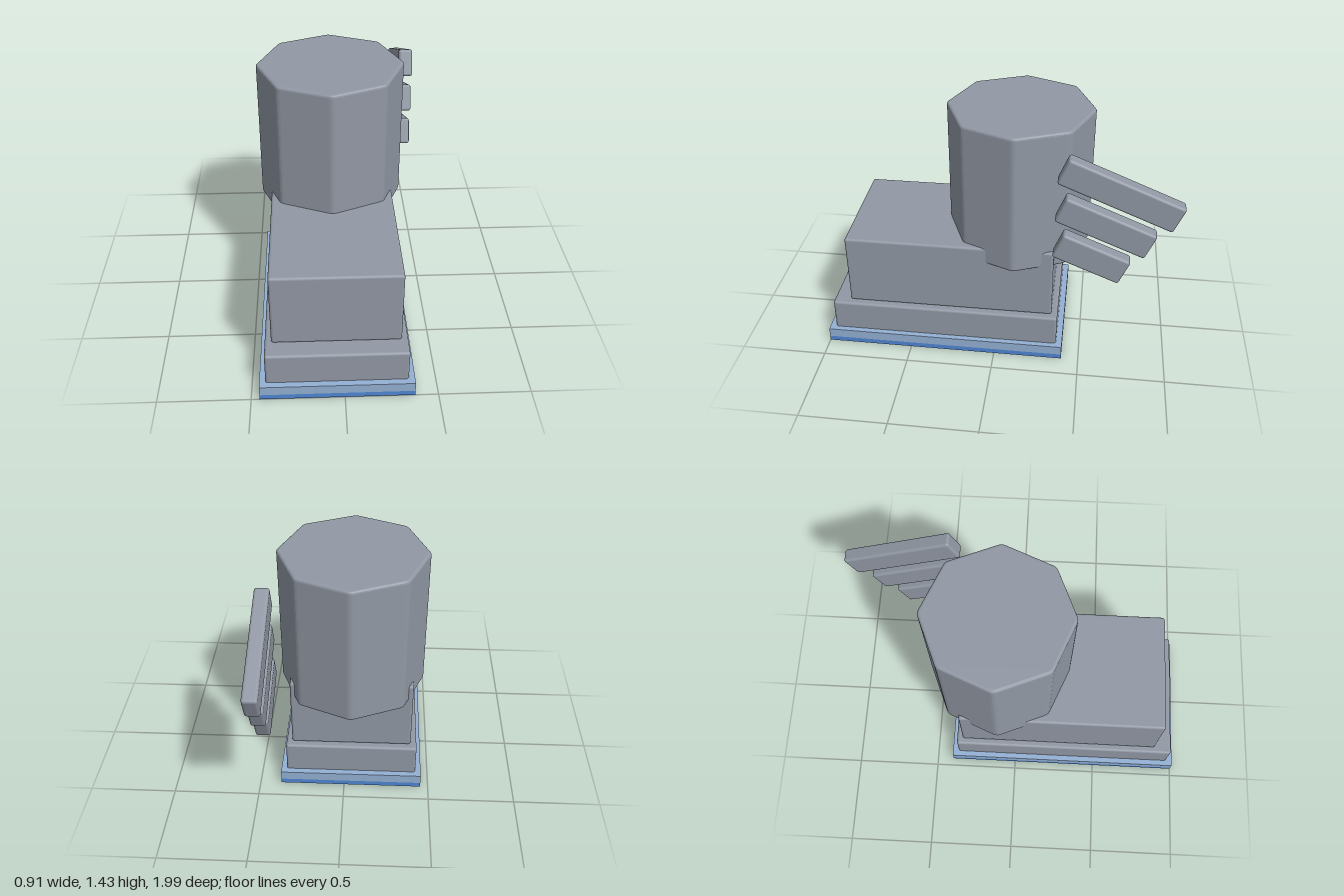
import * as THREE from 'three';
import { RoundedBoxGeometry } from 'three/addons/geometries/RoundedBoxGeometry.js';

const material = (name, color) => {
  const m = new THREE.MeshStandardMaterial({ color });
  m.name = name;
  return m;
};

// Octagon with a vertex on each axis and slightly rounded corners
function octagonShape(radius, round) {
  const corners = [];
  for (let i = 0; i < 8; i++) {
    const a = (i * Math.PI) / 4;
    corners.push(new THREE.Vector2(Math.cos(a) * radius, Math.sin(a) * radius));
  }
  const shape = new THREE.Shape();
  corners.forEach((c, i) => {
    const side = c.distanceTo(corners[(i + 1) % 8]);
    const before = c.clone().lerp(corners[(i + 7) % 8], round / side);
    const after = c.clone().lerp(corners[(i + 1) % 8], round / side);
    if (i === 0) shape.moveTo(before.x, before.y);
    else shape.lineTo(before.x, before.y);
    shape.quadraticCurveTo(c.x, c.y, after.x, after.y);
  });
  shape.closePath();
  return shape;
}

export function createModel() {
  const group = new THREE.Group();
  const grey = material('body grey', 0x9198a4);
  const blue = material('base blue', 0x4f86d2);
  const paleBlue = material('pale blue', 0x94b0d4);
  const cx = -0.04;

  const add = (name, geometry, mat, x, y, z) => {
    const mesh = new THREE.Mesh(geometry, mat);
    mesh.name = name;
    mesh.position.set(x, y, z);
    group.add(mesh);
    return mesh;
  };

  // Two-layer base plate
  add('basePlate', new THREE.BoxGeometry(0.83, 0.03, 1.4), blue, cx, 0.015, 0.3);
  add('baseBand', new THREE.BoxGeometry(0.83, 0.055, 1.4), paleBlue, cx, 0.0575, 0.3);

  // Stepped body blocks
  add('lowerBlock', new RoundedBoxGeometry(0.765, 0.23, 1.33, 3, 0.015), grey, cx, 0.155, 0.3);
  add('upperBlock', new RoundedBoxGeometry(0.695, 0.435, 1.195, 3, 0.015), grey, cx, 0.4875, 0.2675);

  // Octagonal tower with softened rims
  const bevel = 0.015;
  const tower = new THREE.ExtrudeGeometry(octagonShape(0.413, 0.02), {
    depth: 0.83 - 2 * bevel, bevelEnabled: true, bevelThickness: bevel,
    bevelSize: bevel, bevelOffset: -bevel, bevelSegments: 3, curveSegments: 3,
  });
  tower.rotateX(-Math.PI / 2);
  add('tower', tower, grey, cx, 0.605 + bevel, -0.105);

  // Three slanted bars on the model's left, shortening downward
  [[0.655, 1.183, -0.667], [0.52, 0.982, -0.6], [0.392, 0.782, -0.535]].forEach(([length, y, z], i) => {
    const bar = add(`wingBar${i + 1}`, new RoundedBoxGeometry(0.08, 0.156, length, 3, 0.015), grey, 0.412, y, z);
    bar.rotation.x = -Math.PI / 8;
  });

  return group;
}
